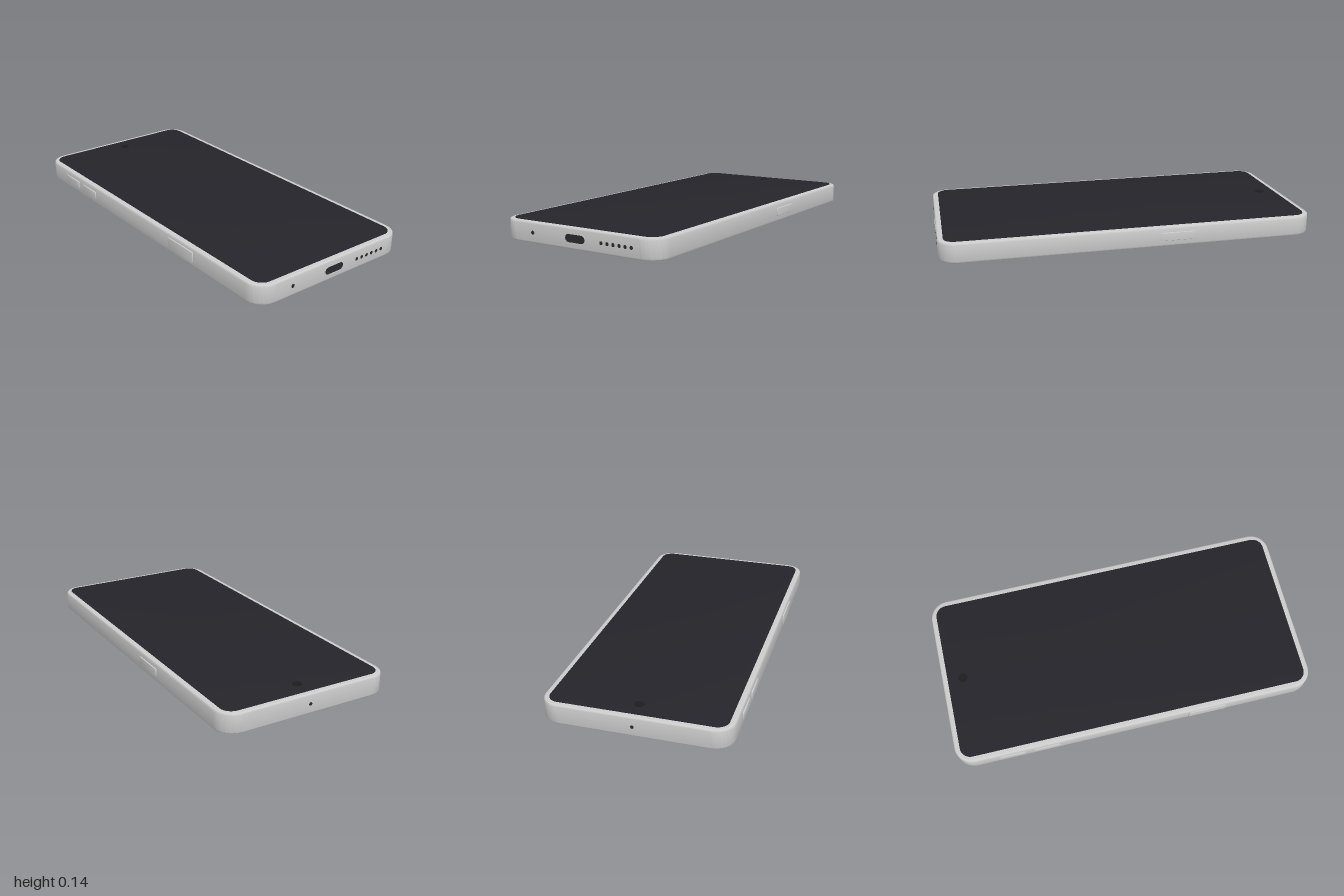
import * as THREE from 'three';
import { toCreasedNormals } from 'three/addons/utils/BufferGeometryUtils.js';

const material = (color) => new THREE.MeshStandardMaterial({ color });
const METAL = material(0xcccccc);
const GLASS = material(0x25242a);
const DARK = material(0x2a2a2d);
const BLACK = material(0x1c1c1f);

function roundedRect(w, h, r) {
  const s = new THREE.Shape();
  const x = w / 2, y = h / 2;
  s.absarc(x - r, y - r, r, 0, Math.PI / 2);
  s.absarc(-x + r, y - r, r, Math.PI / 2, Math.PI);
  s.absarc(-x + r, -y + r, r, Math.PI, Math.PI * 1.5);
  s.absarc(x - r, -y + r, r, Math.PI * 1.5, Math.PI * 2);
  s.closePath();
  return s;
}

// Rounded plate centred on the origin, with its thickness along z
function plate(w, h, t, r, bevel) {
  const geo = new THREE.ExtrudeGeometry(roundedRect(w - 2 * bevel, h - 2 * bevel, r - bevel), {
    depth: t - 2 * bevel, curveSegments: 12, bevelEnabled: bevel > 0,
    bevelThickness: bevel, bevelSize: bevel, bevelSegments: 3,
  });
  geo.translate(0, 0, -t / 2 + bevel);
  return toCreasedNormals(geo, 0.6);
}

export function createModel() {
  const model = new THREE.Group();

  function add(name, geo, mat, x, y, z) {
    const mesh = new THREE.Mesh(geo, mat);
    mesh.name = name;
    mesh.position.set(x, y, z);
    model.add(mesh);
    return mesh;
  }
  // Horizontal slab from y0 to y1
  const slab = (name, w, l, y0, y1, r, bevel, mat, x = 0, z = 0) =>
    add(name, plate(w, l, y1 - y0, r, bevel).rotateX(-Math.PI / 2), mat, x, (y0 + y1) / 2, z);
  // Upright disc or button of a given thickness, axis along y
  const disc = (name, r, t, mat, x, y, z) =>
    add(name, new THREE.CylinderGeometry(r, r, t, 32), mat, x, y, z);

  // Body and screen
  slab('body', 0.96, 2, 0.032, 0.138, 0.1, 0.01, METAL);
  slab('screen', 0.9, 1.94, 0.134, 0.1415, 0.06, 0.002, GLASS);
  disc('frontCamera', 0.025, 0.006, BLACK, 0, 0.1405, -0.885);

  // Rear camera island with three lenses and a flash
  slab('cameraIsland', 0.4, 0.39, 0.008, 0.036, 0.06, 0.004, DARK, -0.24, -0.665);
  for (const [x, z] of [[-0.175, -0.76], [-0.34, -0.76], [-0.255, -0.575]]) {
    disc('lensRing', 0.08, 0.012, DARK, x, 0.0085, z);
    disc('lensGlass', 0.064, 0.012, BLACK, x, 0.006, z);
  }
  disc('flash', 0.022, 0.006, DARK, -0.09, 0.009, -0.6);

  // Side keys and card tray: [name, side, z, length, height]
  for (const [name, side, z, length, height] of [
    ['powerButton', 1, -0.235, 0.19, 0.044],
    ['volumeUpButton', -1, -0.7, 0.145, 0.044],
    ['volumeDownButton', -1, -0.51, 0.145, 0.044],
    ['cardTray', -1, 0.395, 0.21, 0.062],
  ]) {
    const geo = plate(length, height, 0.02, 0.006, 0.002).rotateY(Math.PI / 2);
    add(name, geo, METAL, side * 0.476, 0.086, z);
  }

  // Charging port on the bottom edge
  const rimShape = roundedRect(0.13, 0.05, 0.0249);
  rimShape.holes.push(roundedRect(0.12, 0.04, 0.0199));
  const rim = new THREE.ExtrudeGeometry(rimShape, { depth: 0.006, bevelEnabled: false, curveSegments: 12 });
  add('portRim', toCreasedNormals(rim, 0.6), METAL, 0, 0.086, 0.996);
  add('portOpening', plate(0.122, 0.042, 0.006, 0.0209, 0), DARK, 0, 0.086, 0.998);

  // Microphone and speaker holes on both short edges
  const hole = (name, r, x, side) => {
    disc(name, r, 0.006, DARK, x, 0.085, side * 0.998).rotation.x = Math.PI / 2;
  };
  hole('bottomMicrophone', 0.01, -0.27, 1);
  for (let i = 0; i < 6; i++) hole('speakerHole', 0.009, 0.158 + i * 0.035, 1);
  hole('topMicrophone', 0.009, 0, -1);

  return model;
}
